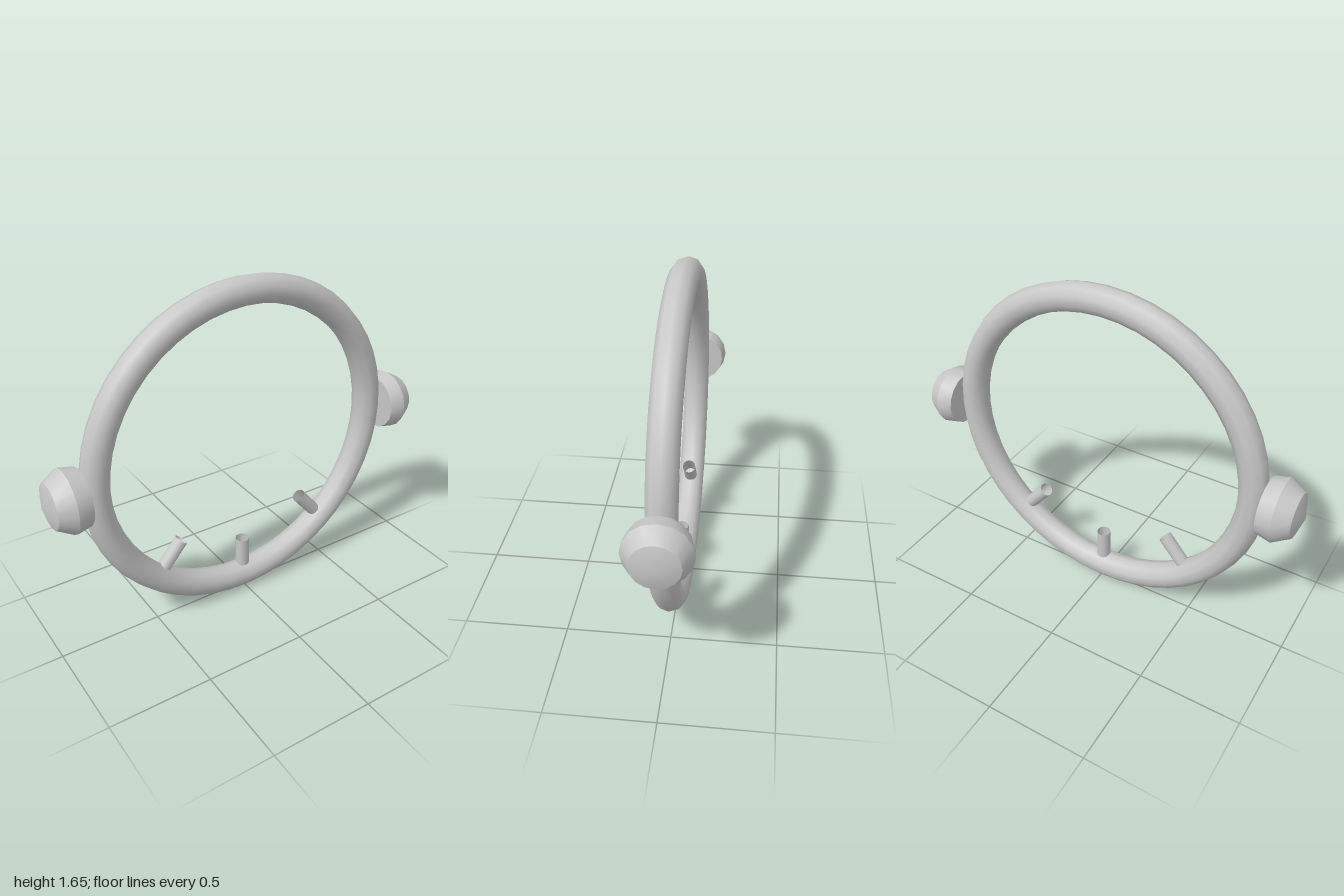
import * as THREE from 'three';
import { toCreasedNormals } from 'three/addons/utils/BufferGeometryUtils.js';

export function createModel() {
  const model = new THREE.Group();
  const grey = new THREE.MeshStandardMaterial({ color: 0xc8c8c8, side: THREE.DoubleSide });
  grey.name = 'light grey';

  const centreY = 0.826;
  const add = (name, geometry) => {
    const mesh = new THREE.Mesh(geometry, grey);
    mesh.name = name;
    model.add(mesh);
    return mesh;
  };

  // Upright ring with a ten-sided tube
  add('ring', new THREE.TorusGeometry(0.758, 0.068, 10, 48)).position.y = centreY;

  // Side knobs: flat inner disc, flared rim, bevel and shallow conical end
  const profile = [[0, 0.82], [0.135, 0.82], [0.15, 0.893], [0.106, 0.968], [0, 1]]
    .map(([r, h]) => new THREE.Vector2(r, h));
  const knobGeometry = toCreasedNormals(new THREE.LatheGeometry(profile, 16), 0.6);
  for (const side of [-1, 1]) {
    const knob = add(side > 0 ? 'leftKnob' : 'rightKnob', knobGeometry);
    knob.position.y = centreY;
    knob.rotation.z = -side * Math.PI / 2;
  }

  // Three hollow pegs pointing from the lower ring to its centre
  const pegGeometry = new THREE.CylinderGeometry(0.034, 0.034, 0.153, 12, 1, true);
  pegGeometry.translate(0, -0.62, 0);
  [['rightPeg', -40], ['middlePeg', 0], ['leftPeg', 40]].forEach(([name, degrees]) => {
    const peg = add(name, pegGeometry);
    peg.position.y = centreY;
    peg.rotation.z = THREE.MathUtils.degToRad(degrees);
  });

  return model;
}
